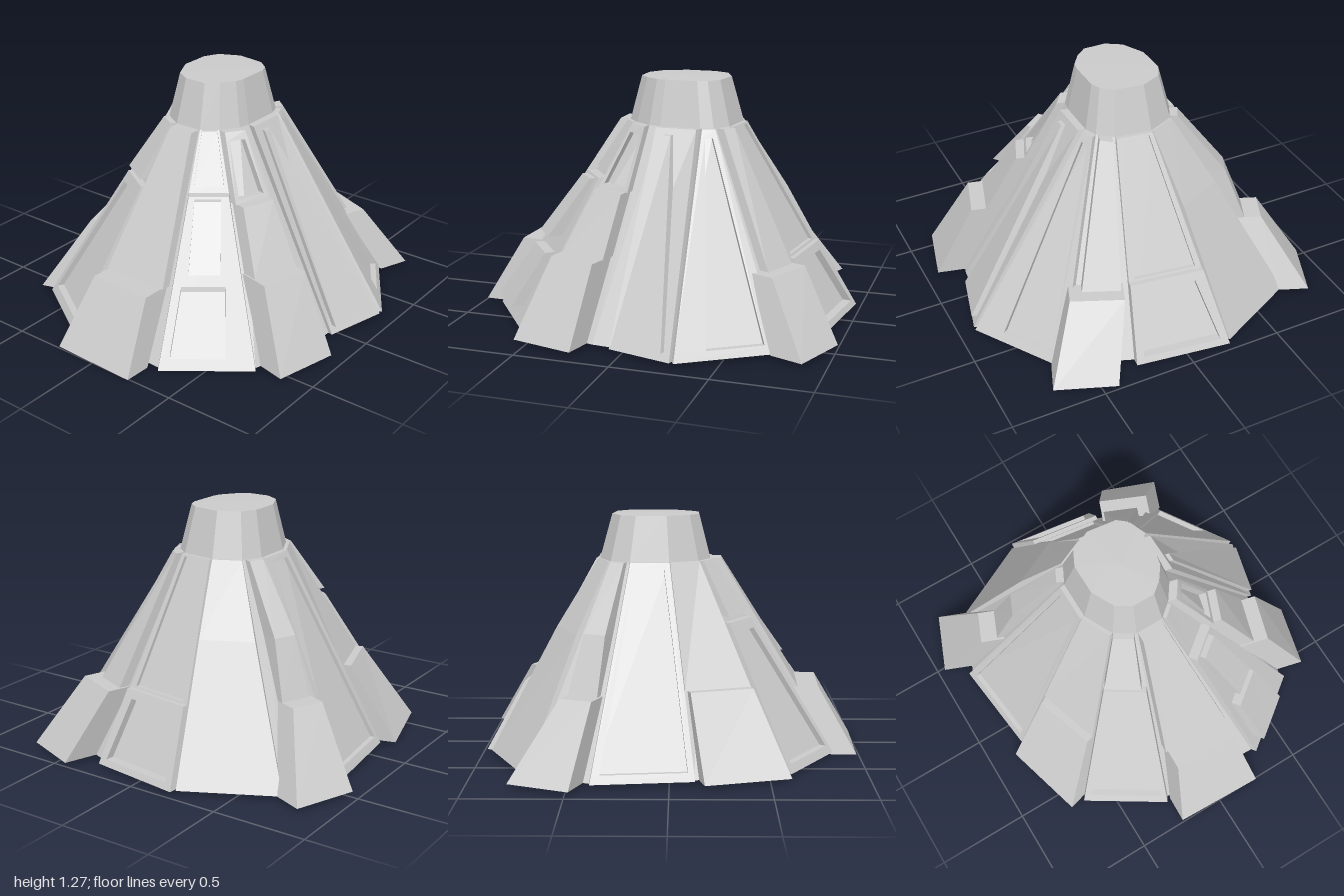
import * as THREE from 'three';

const material = new THREE.MeshStandardMaterial({ color: 0xcccccc, flatShading: true, side: THREE.DoubleSide });
const CX = 0.07, RIM_Y = 0.02, NECK_Y = 1.03, TOP_Y = 1.265;

// Corners [x, z] of the wall at the ground, and of the cap, running from +x round to +z
const rimXZ = [[0.96, -0.24], [0.89, 0.28], [0.76, 0.62], [0.29, 0.92], [-0.06, 0.83], [-0.17, 0.82], [-0.58, 0.72],
  [-0.88, 0.32], [-0.86, -0.25], [-0.6, -0.66], [-0.13, -0.79], [0.4, -0.85], [0.72, -0.72]];
const capXZ = [[0.31, -0.05], [0.29, 0.1], [0.24, 0.16], [0.19, 0.18], [0.02, 0.18], [-0.03, 0.17], [-0.1, 0.12],
  [-0.15, 0.06], [-0.15, -0.06], [-0.1, -0.14], [0.02, -0.2], [0.18, -0.2], [0.26, -0.16]];
const N = rimXZ.length;
const ring = (points, y, scale) => points.map(([x, z]) => new THREE.Vector3(CX + (x - CX) * scale, y, z * scale));
const rim = ring(rimXZ, RIM_Y, 0.97);
const neck = ring(capXZ, NECK_Y, 1.27);
const cap = ring(capXZ, TOP_Y, 1);

// Point on sector i: u across, v from neck (0) to ground (1), h horizontally outward
function wallPoint(i, u, v, h) {
  const j = (i + 1) % N;
  const a = neck[i].clone().lerp(rim[i], v);
  const b = neck[j].clone().lerp(rim[j], v);
  const edge = rim[j].clone().sub(rim[i]).normalize();
  return a.lerp(b, u).add(new THREE.Vector3(edge.z, 0, -edge.x).multiplyScalar(h));
}

function quadMesh(name, quads) {
  const points = quads.flatMap(([a, b, c, d]) => (d ? [a, b, c, a, c, d] : [a, b, c]));
  const geometry = new THREE.BufferGeometry().setFromPoints(points);
  geometry.computeVertexNormals();
  const mesh = new THREE.Mesh(geometry, material);
  mesh.name = name;
  return mesh;
}

// Raised block lofted over sector i through rows of [u0, u1, v, height]
function slab(name, i, rows) {
  const s = rows.map(([u0, u1, v, h]) => ({
    ai: wallPoint(i, u0, v, 0), bi: wallPoint(i, u1, v, 0),
    ao: wallPoint(i, u0, v, h), bo: wallPoint(i, u1, v, h),
  }));
  const quads = [];
  for (let k = 0; k + 1 < s.length; k++) {
    const p = s[k], q = s[k + 1];
    quads.push([p.ao, p.bo, q.bo, q.ao], [p.ai, p.ao, q.ao, q.ai], [p.bo, p.bi, q.bi, q.bo]);
  }
  const t = s[0], e = s[s.length - 1];
  quads.push([t.ai, t.bi, t.bo, t.ao], [e.ao, e.bo, e.bi, e.ai]);
  return quadMesh(name, quads);
}

// Raised border around a sunken panel: opening [u0, u1, v] at its top and bottom
function frame(name, i, v0, v1, [a0, b0, t], [a1, b1, b], h) {
  const group = new THREE.Group();
  group.name = name;
  group.add(
    slab('frameTop', i, [[0, 1, v0, h], [0, 1, t, h]]),
    slab('frameSideA', i, [[0, a0, t, h], [0, a1, b, h]]),
    slab('frameSideB', i, [[b0, 1, t, h], [b1, 1, b, h]]),
    slab('frameBottom', i, [[0, 1, b, h], [0, 1, v1, h]]),
  );
  return group;
}

export function createModel() {
  const model = new THREE.Group();
  model.name = 'facetedCone';

  // Core shell, open underneath
  const wall = [], collar = [], lid = [];
  const middle = new THREE.Vector3(CX, TOP_Y + 0.005, 0);
  for (let i = 0; i < N; i++) {
    const j = (i + 1) % N;
    wall.push([neck[i], neck[j], rim[j], rim[i]]);
    collar.push([cap[i], cap[j], neck[j], neck[i]]);
    lid.push([middle, cap[j], cap[i]]);
  }
  model.add(quadMesh('wall', wall), quadMesh('collar', collar), quadMesh('cap', lid));

  // Left sector: sunken upper face and framed lower plate
  model.add(
    frame('leftUpperFrame', 0, 0, 0.64, [0.12, 0.88, 0.01], [0.08, 0.92, 0.63], 0.02),
    frame('leftLowerFrame', 0, 0.64, 1, [0.15, 0.87, 0.68], [0.08, 0.92, 0.97], 0.045),
  );

  // Front left rib and foot
  model.add(
    slab('frontLeftRib', 1, [[0.15, 0.85, 0, 0.05], [0.15, 0.9, 0.65, 0.06]]),
    slab('frontLeftFoot', 1, [[0.1, 1.15, 0.65, 0.13], [0.27, 1.2, 1, 0.18]]),
  );

  // Front panels
  model.add(
    frame('frontSunkenPanel', 2, 0, 1, [0.3, 0.75, 0.04], [0.13, 0.7, 0.96], 0.03),
    slab('frontPanelBase', 3, [[0, 1, 0, 0.04], [0, 1, 1, 0.025]]),
    slab('frontRaisedPanel', 3, [[0.55, 0.75, 0.03, 0.06], [0.1, 0.93, 0.96, 0.055]]),
  );

  // Front right stepped blocks
  model.add(
    frame('frontRightSlot', 5, 0, 0.31, [0.15, 0.85, 0.04], [0.12, 0.88, 0.29], 0.045),
    slab('frontRightStep', 5, [[0.05, 0.95, 0.31, 0.09], [0.05, 0.95, 0.61, 0.09]]),
    slab('frontRightFoot', 5, [[0.08, 0.98, 0.61, 0.17], [0.08, 0.92, 1, 0.15]]),
  );

  // Right front plate carrying two boxes
  model.add(
    slab('rightFrontPlate', 6, [[0, 1, 0.27, 0.05], [0, 1, 1, 0.03]]),
    slab('rightFrontTopPlate', 6, [[0.1, 0.9, 0, 0.02], [0.1, 0.9, 0.24, 0.02]]),
    slab('rightFrontUpperBox', 6, [[0.2, 0.85, 0.28, 0.08], [0.3, 0.8, 0.57, 0.12]]),
    slab('rightFrontLowerBox', 6, [[0.25, 0.88, 0.65, 0.09], [0.3, 0.9, 0.92, 0.1]]),
  );

  // Right sector and foot
  model.add(
    slab('rightPanel', 7, [[0.05, 0.95, 0, 0.06], [0.05, 0.95, 0.67, 0.05]]),
    slab('rightFoot', 7, [[0.08, 0.92, 0.67, 0.16], [0.12, 0.98, 1.02, 0.145]]),
  );

  // Back right sector: upper plate over a sunken panel
  model.add(
    slab('backRightUpperPlate', 8, [[0.1, 1, 0, 0.03], [0.1, 1, 0.27, 0.05]]),
    frame('backRightSunkenPanel', 8, 0.3, 1, [0.15, 0.88, 0.35], [0.07, 0.93, 0.96], 0.035),
  );

  // Back sectors
  model.add(
    slab('backPlate', 9, [[0, 1, 0, 0.02], [0, 1, 0.6, 0.02]]),
    slab('backFoot', 9, [[0, 0.95, 0.6, 0.06], [0, 0.95, 1, 0.1]]),
    frame('backSunkenPanel', 10, 0, 1, [0.15, 0.85, 0.03], [0.06, 0.92, 0.96], 0.025),
  );

  // Back left bent rib, foot and plain sector
  model.add(
    slab('backLeftRib', 11, [[0.15, 0.85, 0, 0.04], [0.1, 0.75, 0.33, 0.1], [0.1, 0.75, 0.62, 0.04]]),
    slab('backLeftFoot', 11, [[0.05, 0.75, 0.62, 0.13], [0.1, 1.1, 1, 0.16]]),
    slab('backLeftPlate', 12, [[0, 1, 0, 0.01], [0, 1, 0.35, 0.035], [0, 1, 1, 0.02]]),
  );
  return model;
}
